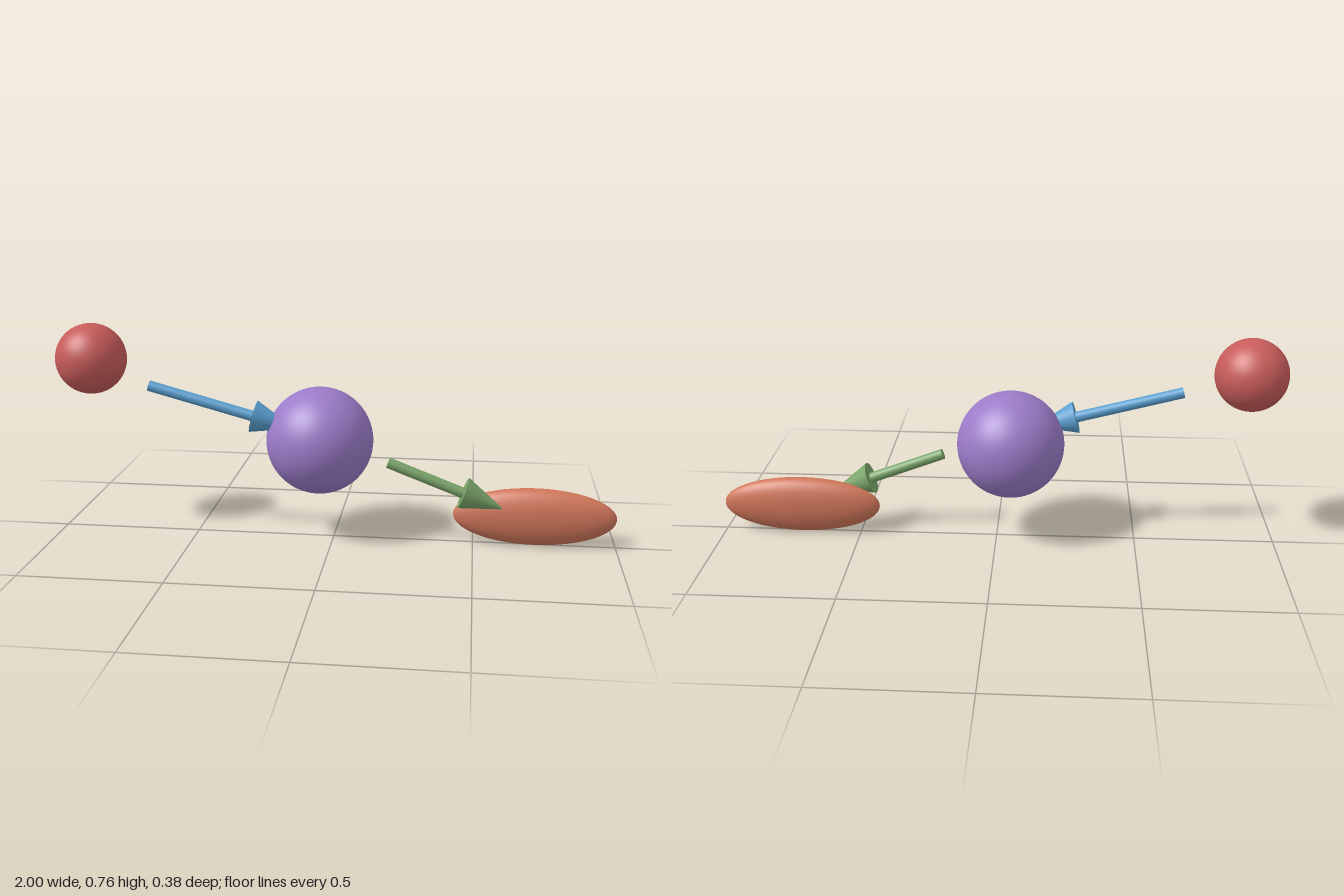
import * as THREE from 'three';

const mat = (name, color) => {
  const m = new THREE.MeshStandardMaterial({ color });
  m.name = name;
  return m;
};

export function createModel() {
  const group = new THREE.Group();
  const red = mat('red', 0xc75c5a);
  const purple = mat('purple', 0x9b7bc8);
  const orange = mat('orange', 0xd0765a);
  const blue = mat('blue', 0x5a9fd0);
  const green = mat('green', 0x7aa469);

  // Balls, optionally squashed by different radii
  const ball = (name, material, pos, radii) => {
    const m = new THREE.Mesh(new THREE.SphereGeometry(1, 64, 40), material);
    m.name = name;
    m.position.set(...pos);
    m.scale.set(...radii);
    group.add(m);
  };
  ball('smallBall', red, [-0.874, 0.636, 0], [0.126, 0.126, 0.126]);
  ball('largeBall', purple, [-0.05, 0.361, 0], [0.19, 0.19, 0.19]);
  ball('flatEllipsoid', orange, [0.714, 0.106, 0], [0.286, 0.104, 0.056]);

  // Arrow: round shaft from start to neck, then a cone head
  const arrow = (name, material, start, neck) => {
    const a = new THREE.Vector3(...start);
    const dir = new THREE.Vector3(...neck).sub(a);
    const length = dir.length();
    const headLength = 0.153;
    const g = new THREE.Group();
    g.name = name;
    g.position.copy(a);
    g.quaternion.setFromUnitVectors(new THREE.Vector3(0, 1, 0), dir.normalize());
    const shaft = new THREE.Mesh(new THREE.CylinderGeometry(0.019, 0.019, length, 32), material);
    shaft.name = 'shaft';
    shaft.position.y = length / 2;
    const head = new THREE.Mesh(new THREE.ConeGeometry(0.057, headLength, 48), material);
    head.name = 'head';
    head.position.y = length + headLength / 2;
    g.add(shaft, head);
    group.add(g);
  };
  arrow('firstArrow', blue, [-0.653, 0.552, 0.043], [-0.279, 0.452, 0.043]);
  arrow('secondArrow', green, [0.197, 0.299, 0.043], [0.462, 0.198, 0.043]);

  return group;
}
